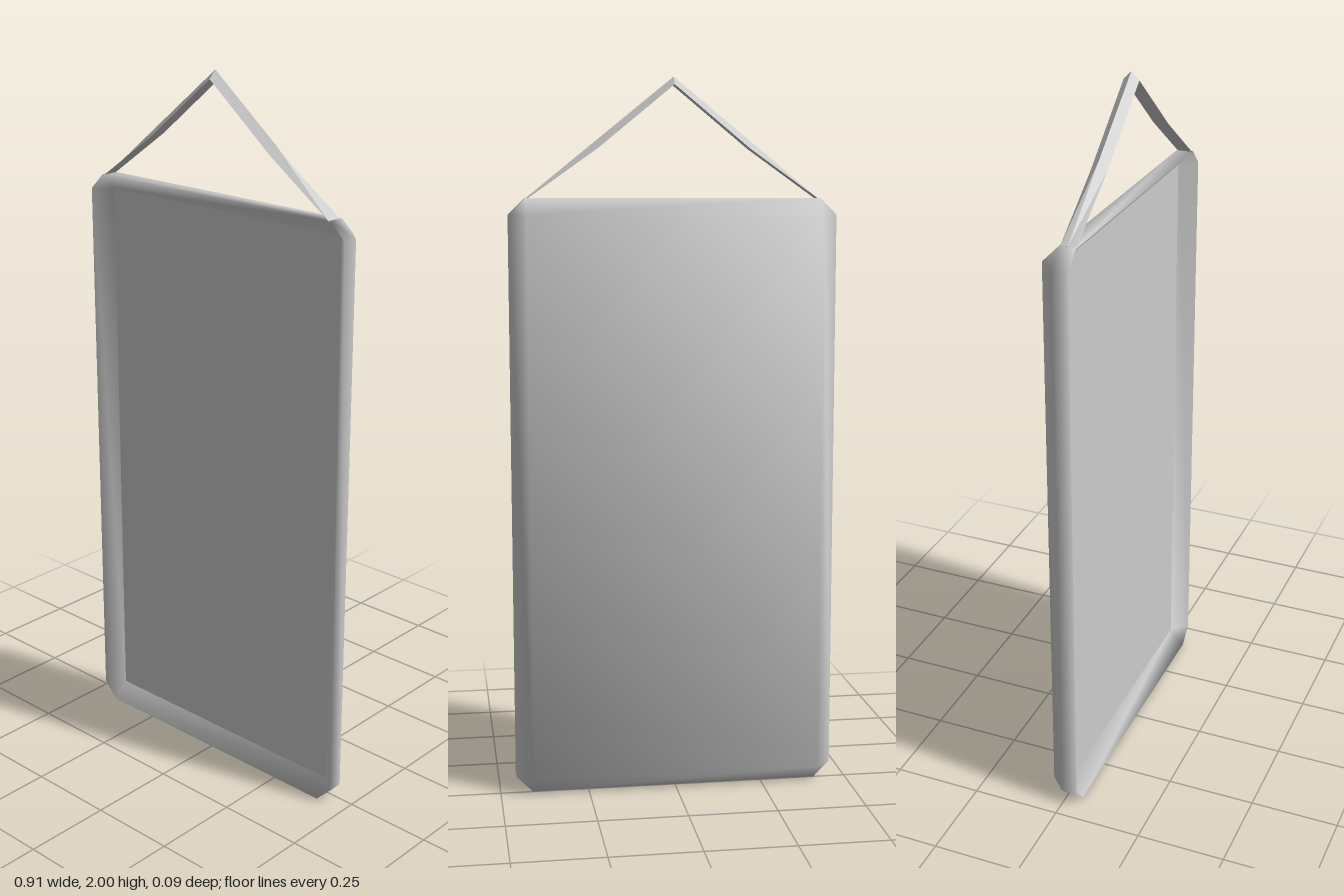
import * as THREE from 'three';
import { mergeVertices, toCreasedNormals } from 'three/addons/utils/BufferGeometryUtils.js';

const HALF_W = 0.455, HEIGHT = 1.673, BEVEL = 0.046, DEPTH = 0.045;

// Skin between successive rings that all have the same number of points
function loft(rings, capFirst = false, capLast = false) {
  const n = rings[0].length, index = [];
  for (let r = 0; r < rings.length - 1; r++) {
    for (let i = 0; i < n; i++) {
      const a = r * n + i, b = r * n + (i + 1) % n;
      index.push(a, b, b + n, a, b + n, a + n);
    }
  }
  const last = (rings.length - 1) * n;
  for (let i = 1; i < n - 1; i++) {
    if (capFirst) index.push(0, i + 1, i);
    if (capLast) index.push(last, last + i, last + i + 1);
  }
  const g = new THREE.BufferGeometry();
  g.setAttribute('position', new THREE.Float32BufferAttribute(rings.flat(2), 3));
  g.setIndex(index);
  return g;
}

// Eight-point outline, counterclockwise; cut = 0 gives a plain rectangle
function outline(inset, cut, z) {
  const x = HALF_W - inset, y0 = inset, y1 = HEIGHT - inset;
  return [
    [-x + cut, y0, z], [x - cut, y0, z], [x, y0 + cut, z], [x, y1 - cut, z],
    [x - cut, y1, z], [-x + cut, y1, z], [-x, y1 - cut, z], [-x, y0 + cut, z],
  ];
}

export function createModel() {
  const group = new THREE.Group();
  const material = new THREE.MeshStandardMaterial({ color: 0xcccccc });
  const add = (name, geometry) => {
    const mesh = new THREE.Mesh(geometry, material);
    mesh.name = name;
    group.add(mesh);
  };

  // Bevelled back, straight sides and a rim sloping in to the panel
  const shell = mergeVertices(loft([
    outline(BEVEL, 0, -DEPTH),
    outline(0, BEVEL, 0),
    outline(0, BEVEL, DEPTH),
    outline(BEVEL, 0, 0.002),
  ], true));
  shell.computeVertexNormals();
  // Soften the back by leaning its corner normals outward
  const p = shell.attributes.position, normal = new THREE.Vector3();
  for (let i = 0; i < p.count; i++) {
    if (p.getZ(i) > -0.04) continue;
    normal.set(Math.sign(p.getX(i)) * 0.4, Math.sign(p.getY(i) - HEIGHT / 2) * 0.4, -1).normalize();
    shell.attributes.normal.setXYZ(i, normal.x, normal.y, normal.z);
  }
  add('frame', shell);

  // Flat recessed front panel
  const panel = new THREE.PlaneGeometry(2 * (HALF_W - BEVEL), HEIGHT - 2 * BEVEL);
  panel.translate(0, HEIGHT / 2, 0.002);
  add('frontPanel', panel);

  // Hanging strap: triangular section, thin at the ends, ridge on top
  const stations = [[-0.405, 0.004], [-0.21, 0.024], [0, 0.022], [0.21, 0.024], [0.405, 0.004]];
  const strap = loft(stations.map(([x, t]) => {
    const y = 2 - Math.abs(x) * 0.805;
    return [[x, y, 0.023], [x, y - t, 0.045], [x, y - t, 0.002]];
  }), true, true);
  add('hangingStrap', toCreasedNormals(strap, 0.4));

  return group;
}
